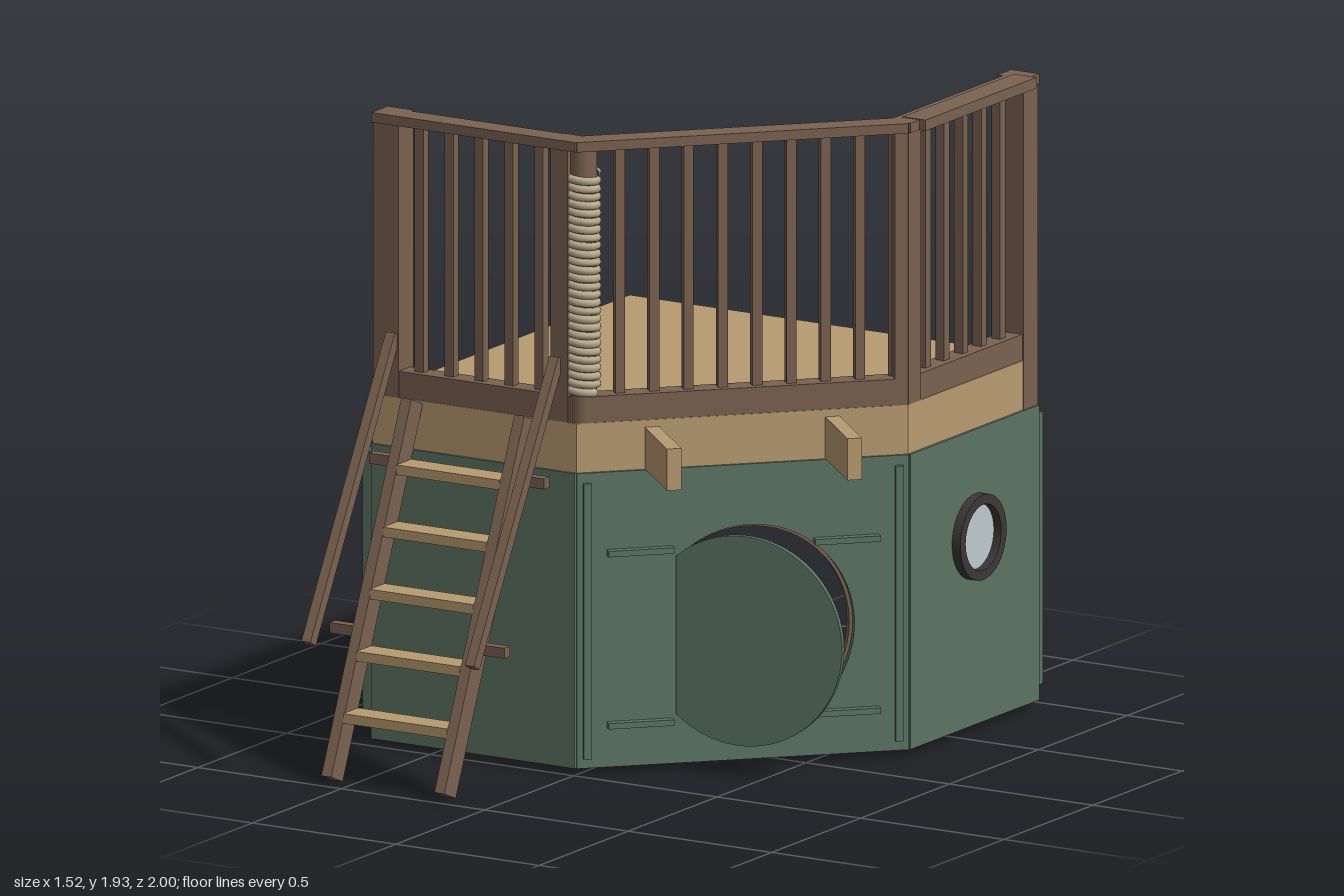
import * as THREE from 'three';

const mat = (color, side = THREE.FrontSide) => new THREE.MeshStandardMaterial({ color, side });
const BROWN = mat(0x7a6250), TAN = mat(0xb89b70), GREEN = mat(0x5c7464);
const DARK = mat(0x3b3835), GLASS = mat(0xbccacf, THREE.DoubleSide), ROPE = mat(0xb8aa8c), FOOT = mat(0x5c7464);

function add(parent, name, geometry, material, x = 0, y = 0, z = 0) {
  const mesh = new THREE.Mesh(geometry, material);
  mesh.name = name;
  mesh.position.set(x, y, z);
  parent.add(mesh);
  return mesh;
}

// Box given by its minimum and maximum on each axis
function box(parent, name, material, x0, x1, y0, y1, z0, z1) {
  return add(parent, name, new THREE.BoxGeometry(x1 - x0, y1 - y0, z1 - z0), material,
    (x0 + x1) / 2, (y0 + y1) / 2, (z0 + z1) / 2);
}

// Slanted bar in the y-z plane at a given x
function slantBar(parent, name, x, y0, z0, y1, z1, width, depth) {
  const bar = add(parent, name, new THREE.BoxGeometry(width, Math.hypot(y1 - y0, z1 - z0), depth), BROWN,
    x, (y0 + y1) / 2, (z0 + z1) / 2);
  bar.rotation.x = Math.atan2(z1 - z0, y1 - y0);
}

const extrude = (shape, depth) =>
  new THREE.ExtrudeGeometry(shape, { depth, bevelEnabled: false, curveSegments: 32 });

// Circle with its left side cut straight at x = cx - cut
function cutCircle(target, cx, cy, r, cut) {
  const a = Math.PI - Math.acos(cut / r);
  target.absarc(cx, cy, r, -a, a, false);
  target.closePath();
  return target;
}

// Deck outline in plan (x, z)
const CORNERS = [[-0.71, 0.485], [0, 0.485], [0.71, -0.235], [0.71, -0.96], [-0.71, -0.96]];

// Group along one deck edge: local x runs along it, local z points outward
function edgeGroup(parent, name, i) {
  const [ax, az] = CORNERS[i], [bx, bz] = CORNERS[(i + 1) % 5];
  const group = new THREE.Group();
  group.name = name;
  group.position.set((ax + bx) / 2, 0, (az + bz) / 2);
  group.rotation.y = Math.atan2(az - bz, bx - ax);
  parent.add(group);
  return { group, h: Math.hypot(bx - ax, bz - az) / 2 };
}

// Lower wall panel with frame, and the railing above it
function side(parent, name, i, balusters, hole) {
  const { group: g, h } = edgeGroup(parent, name, i);
  const panel = new THREE.Shape();
  panel.moveTo(-h, 0.02).lineTo(h, 0.02).lineTo(h, 0.92).lineTo(-h, 0.92).closePath();
  if (hole) panel.holes.push(hole);
  add(g, 'wallPanel', extrude(panel, 0.025), GREEN, 0, 0, -0.016);
  box(g, 'bottomPlate', GREEN, -h + 0.04, h - 0.04, 0.021, 0.06, -0.09, -0.016);
  box(g, 'topPlate', GREEN, -h + 0.04, h - 0.04, 0.88, 0.92, -0.07, -0.016);
  for (const s of [-1, 1]) {
    box(g, 'wallStud', BROWN, s * (h - 0.07) - 0.025, s * (h - 0.07) + 0.025, 0.06, 0.92, -0.09, -0.016);
  }
  box(g, 'bottomRail', BROWN, -h + 0.02, h - 0.02, 1.07, 1.15, -0.07, -0.002);
  box(g, 'topRail', BROWN, -h, h, 1.9, 1.93, -0.07, 0.008);
  for (let k = 0; k < balusters; k++) {
    const x = (k - (balusters - 1) / 2) * 0.1045;
    box(g, 'baluster', BROWN, x - 0.015, x + 0.015, 1.15, 1.9, -0.055, -0.025);
  }
  return { g, h };
}

function buildDeck(root) {
  const deck = new THREE.Group();
  deck.name = 'deck';
  root.add(deck);
  const shape = new THREE.Shape(CORNERS.map(([x, z]) => new THREE.Vector2(x, -z)));
  add(deck, 'deckBoard', extrude(shape, 0.022), TAN, 0, 1.048, 0).rotation.x = -Math.PI / 2;
  for (let i = 0; i < 5; i++) {
    const { group, h } = edgeGroup(deck, 'rim', i);
    box(group, 'rimBeam', TAN, -h, h, 0.92, 1.05, -0.04, 0);
  }
  // Joists shorten where the deck is cut off
  for (const z of [-0.62, -0.28, 0.06, 0.28]) {
    box(deck, 'joist', TAN, -0.68, Math.min(0.68, 0.45 - z), 0.94, 1.05, z - 0.02, z + 0.02);
  }
  box(deck, 'groundPost', BROWN, -0.705, -0.625, 0, 0.93, -0.955, -0.875);
}

function buildLadder(root) {
  const ladder = new THREE.Group();
  ladder.name = 'ladder';
  root.add(ladder);
  const mid = -0.357;
  for (const s of [-1, 1]) {
    slantBar(ladder, 'ladderRail', mid + s * 0.197, 0.016, 0.965, 1.075, 0.515, 0.035, 0.07);
    slantBar(ladder, 'handRail', mid + s * 0.285, 0.415, 0.955, 1.26, 0.48, 0.032, 0.035);
    for (const [y, z] of [[0.43, 0.79], [0.9, 0.567]]) {
      add(ladder, 'handRailPeg', new THREE.BoxGeometry(0.12, 0.032, 0.032), BROWN, mid + s * 0.245, y, z);
    }
  }
  for (let k = 0; k < 5; k++) {
    const y = 0.195 + k * 0.174;
    add(ladder, 'rung', new THREE.BoxGeometry(0.36, 0.03, 0.085), TAN, mid, y, 0.888 - (y - 0.195) * 0.43);
  }
}

function buildDoor(root) {
  const door = new THREE.Group();
  door.name = 'roundDoor';
  door.position.set(0.225, 0.415, 0.28);
  door.rotation.y = 0.17;
  root.add(door);
  add(door, 'doorLeaf', extrude(cutCircle(new THREE.Shape(), 0.21, 0, 0.32, 0.21), 0.018), GREEN, 0, 0, -0.009);
  for (const y of [-0.2, 0.2]) box(door, 'doorBatten', GREEN, 0.03, 0.42, y - 0.022, y + 0.022, -0.024, -0.009);
  add(door, 'doorKnob', new THREE.SphereGeometry(0.032, 20, 14), BROWN, 0.43, 0, -0.035);
}

export function createModel() {
  const root = new THREE.Group();
  root.name = 'playhouse';
  buildDeck(root);

  // Front side with its end posts
  const front = side(root, 'frontSide', 0, 5);
  box(front.g, 'endPost', BROWN, -front.h, -front.h + 0.09, 0.06, 1.93, -0.085, -0.001);
  box(front.g, 'cornerPost', BROWN, front.h - 0.09, front.h - 0.03, 1.07, 1.93, -0.075, 0);
  box(front.g, 'endTrim', FOOT, -front.h - 0.045, -front.h, 0.06, 0.89, -0.095, -0.015);

  // Slanted side with the round doorway
  const slant = side(root, 'slantedSide', 1, 8, cutCircle(new THREE.Path(), 0.02, 0.415, 0.32, 0.21));
  const lining = cutCircle(new THREE.Shape(), 0.02, 0.415, 0.34, 0.23);
  lining.holes.push(cutCircle(new THREE.Path(), 0.02, 0.415, 0.31, 0.2));
  add(slant.g, 'doorwayLining', extrude(lining, 0.03), BROWN, 0, 0, -0.046);
  box(slant.g, 'doorwayStud', GREEN, -0.28, -0.22, 0.06, 0.9, -0.08, -0.017);
  box(slant.g, 'cornerPost', BROWN, slant.h - 0.04, slant.h, 1.07, 1.93, -0.07, 0);
  for (const s of [-1, 1]) {
    const x = s * (slant.h - 0.03);
    box(slant.g, 'cornerTrim', GREEN, x - 0.012, x + 0.012, 0.05, 0.89, 0.008, 0.022);
    for (const y of [0.15, 0.675]) {
      box(slant.g, 'wallBar', GREEN, s * 0.315 - 0.1, s * 0.315 + 0.1, y - 0.009, y + 0.009, 0.008, 0.035);
    }
    // Beams reaching out from under the deck
    box(slant.g, 'outrigger', TAN, s * 0.275 - 0.022, s * 0.275 + 0.022, 0.921, 1.048, -0.25, 0.28);
  }

  // Right-hand side with the porthole and indoor shelves
  const end = side(root, 'portholeSide', 2, 5, new THREE.Path().absarc(0, 0.595, 0.1, 0, Math.PI * 2));
  box(end.g, 'cornerPost', BROWN, -end.h, -end.h + 0.07, 1.07, 1.93, -0.07, 0.001);
  box(end.g, 'endPost', BROWN, end.h - 0.08, end.h, 0.06, 1.93, -0.09, 0.003);
  box(end.g, 'endTrim', FOOT, end.h, end.h + 0.04, 0.06, 0.89, -0.085, -0.005);
  box(end.g, 'railCap', BROWN, -end.h + 0.05, end.h - 0.05, 1.899, 1.932, -0.05, 0.03);
  const ring = new THREE.Shape().absarc(0, 0, 0.13, 0, Math.PI * 2);
  ring.holes.push(new THREE.Path().absarc(0, 0, 0.1, 0, Math.PI * 2));
  add(end.g, 'portholeRing', extrude(ring, 0.032), DARK, 0, 0.595, 0.006);
  add(end.g, 'portholeGlass', new THREE.CircleGeometry(0.102, 40), GLASS, 0, 0.595, 0.012);
  for (const y of [0.28, 0.54]) box(end.g, 'shelf', TAN, -0.27, 0.3, y - 0.035, y, -0.19, -0.016);

  // Rope wound around the front corner post
  add(root, 'ropePost', new THREE.CylinderGeometry(0.042, 0.042, 0.84, 20), BROWN, -0.008, 1.49, 0.435);
  const turns = 27, points = [];
  for (let k = 0; k <= turns * 12; k++) {
    const a = (k / 12) * Math.PI * 2;
    points.push(new THREE.Vector3(Math.cos(a) * 0.043, 1.16 + (k / (turns * 12)) * 0.67, Math.sin(a) * 0.043));
  }
  const helix = new THREE.CatmullRomCurve3(points);
  add(root, 'rope', new THREE.TubeGeometry(helix, turns * 18, 0.0125, 7), ROPE, -0.008, 0, 0.435);

  buildDoor(root);
  buildLadder(root);
  return root;
}
